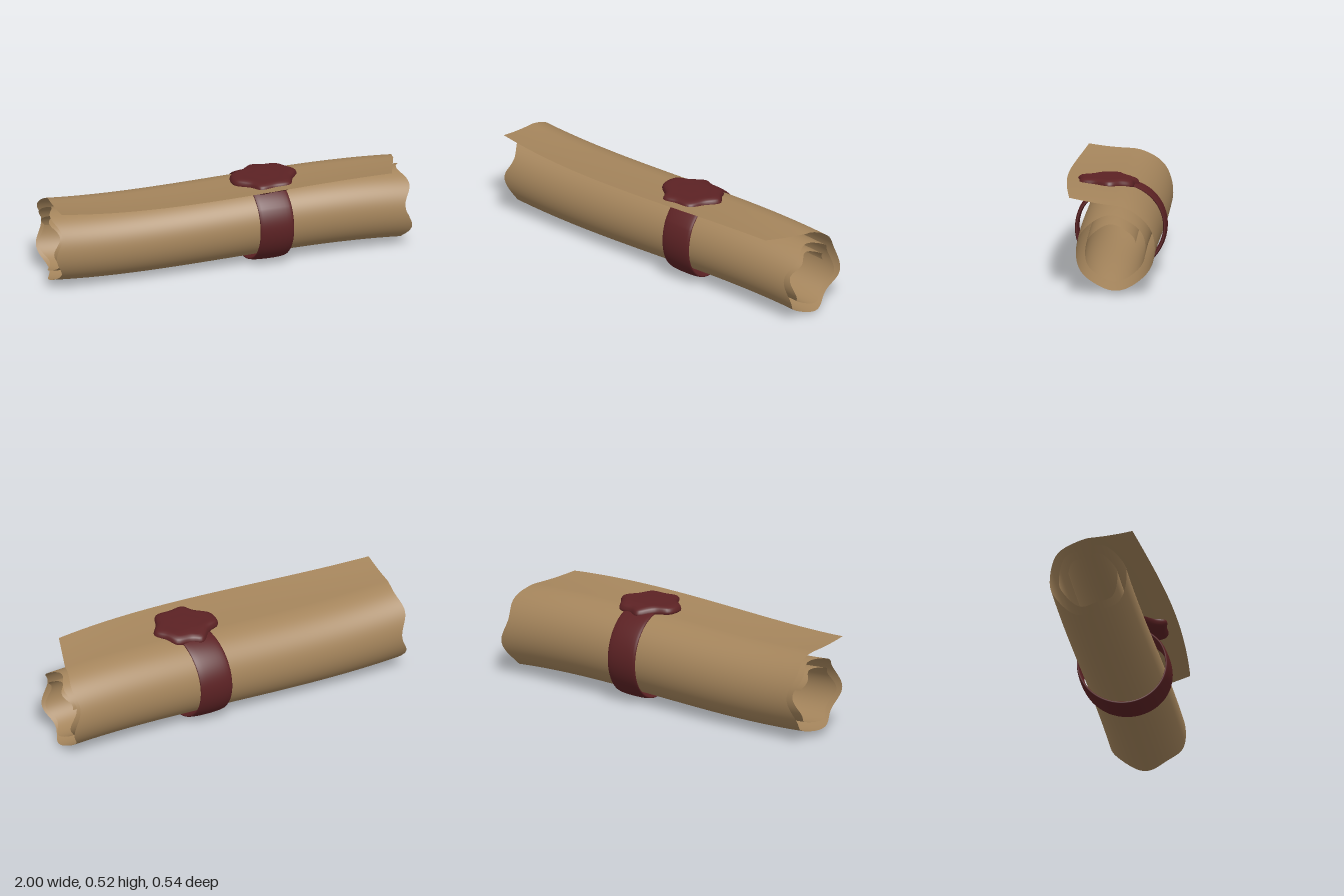
import * as THREE from 'three';
import { ParametricGeometry } from 'three/addons/geometries/ParametricGeometry.js';

const paper = new THREE.MeshStandardMaterial({ color: 0xa5855c, side: THREE.DoubleSide });
paper.name = 'parchment';
const wax = new THREE.MeshStandardMaterial({ color: 0x5c2224, side: THREE.DoubleSide });
wax.name = 'darkRedWax';

const lerp = THREE.MathUtils.lerp;

function part(name, fn, slices, stacks, material) {
  const mesh = new THREE.Mesh(new ParametricGeometry(fn, slices, stacks), material);
  mesh.name = name;
  return mesh;
}

// Parchment: a flat flap running into an inward spiral, with wavy ends and a slight bow
const FLAP = 0.12;
function sheetPoint(u, v, target) {
  const k = Math.min(u / FLAP, 1);
  const turn = u < FLAP ? -0.25 : lerp(-0.25, 1.95, (u - FLAP) / (1 - FLAP));
  const angle = turn * Math.PI * 2;
  const wave = u < FLAP ? 0 : Math.min(1, (turn + 0.25) * 6);
  const right = lerp(lerp(0.87, 0.95, k), 0.98 + 0.02 * Math.sin(angle * 5 + 0.6), wave);
  const left = lerp(-0.98, -0.98 + 0.02 * Math.sin(angle * 5 + 2), wave);
  const x = lerp(left, right, v);
  let y, z;
  if (u < FLAP) {
    z = lerp(0.268 - 0.062 * x * x, -0.02, k);
    y = lerp(0.5, 0.4775, k) - 0.004 * Math.sin(k * Math.PI);
  } else {
    const r = 0.225 - 0.05 * turn;
    z = -0.02 - r * Math.cos(angle);
    y = 0.24 - r * Math.sin(angle);
  }
  target.set(x, y + 0.03 * x - 0.04 * x ** 3, z + 0.002 - 0.009 * x);
}

// Band: a domed strip wrapped round the roll, slightly askew, ending beneath the flap
function bandPoint(u, v, target) {
  const angle = lerp(-0.23, 0.76, u) * Math.PI * 2;
  const tuck = Math.max(0, (u - 0.82) / 0.18);
  const a = v * Math.PI * 2;
  const c = Math.cos(a), s = Math.sin(a);
  const r = 0.235 + 0.011 * Math.sign(s) * Math.abs(s) ** 0.8 - 0.024 * tuck;
  target.set(
    0.195 - 0.035 * Math.cos(angle) + 0.094 * c,
    0.246 - r * Math.sin(angle),
    -0.025 - r * Math.cos(angle)
  );
}

// Seal: an irregular rounded blob of wax clasping the flap
const outline = new THREE.CatmullRomCurve3([
  [0.17, -0.12], [0.23, -0.1], [0.31, -0.09], [0.35, -0.03], [0.39, 0.03], [0.345, 0.11],
  [0.31, 0.19], [0.22, 0.2], [0.14, 0.21], [0.1, 0.15], [0.025, 0.08], [0.03, -0.01], [0.1, -0.05],
].map(([x, z]) => new THREE.Vector3(x, 0, z)), true);
const profile = new THREE.CatmullRomCurve3([
  [0.001, 0.458], [0.4, 0.458], [0.8, 0.459], [0.95, 0.47], [1, 0.488],
  [0.97, 0.503], [0.88, 0.515], [0.45, 0.518], [0.001, 0.518],
].map(([s, y]) => new THREE.Vector3(s, y, 0)));
function sealPoint(u, v, target) {
  const rim = outline.getPoint(u);
  const p = profile.getPoint(v);
  // the wax sags a little towards the back, where it runs into the band
  const z = lerp(0.05, rim.z, p.x);
  const sag = 0.012 * THREE.MathUtils.smoothstep(-z, 0.02, 0.12);
  target.set(lerp(0.2, rim.x, p.x), p.y - sag, z);
}

export function createModel() {
  const group = new THREE.Group();
  group.name = 'sealedScroll';
  group.add(
    part('rolledParchment', sheetPoint, 250, 48, paper),
    part('band', bandPoint, 96, 20, wax),
    part('waxSeal', sealPoint, 78, 32, wax)
  );
  return group;
}
